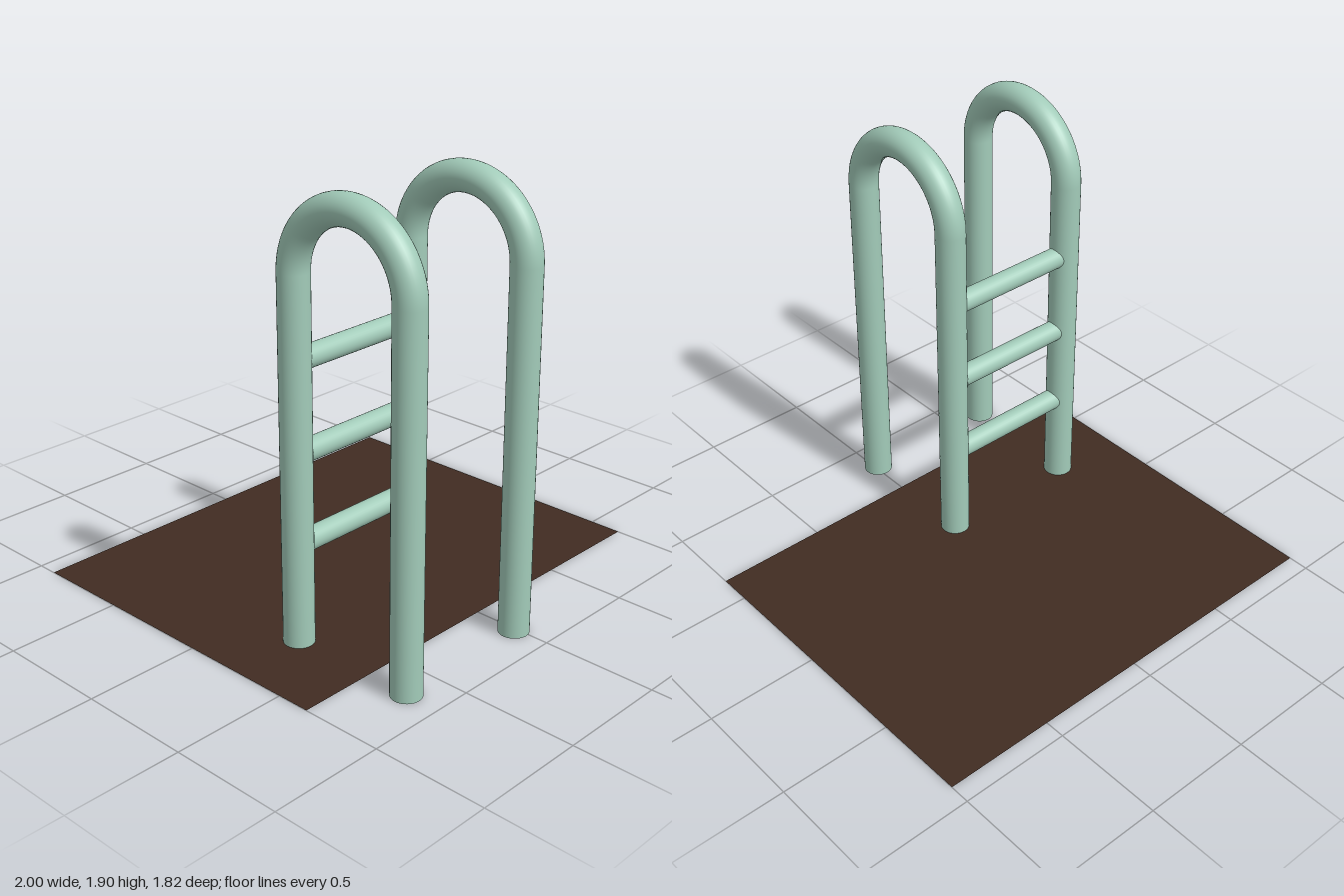
import * as THREE from 'three';

export function createModel() {
  const group = new THREE.Group();
  const paint = new THREE.MeshStandardMaterial({ color: 0xa2cbb9 });
  paint.name = 'pale green paint';
  const soil = new THREE.MeshStandardMaterial({ color: 0x412c22, side: THREE.DoubleSide });
  soil.name = 'dark brown ground';

  const add = (parent, name, geometry, material, x, y, z) => {
    const mesh = new THREE.Mesh(geometry, material);
    mesh.name = name;
    mesh.position.set(x, y, z);
    parent.add(mesh);
    return mesh;
  };

  const railR = 0.065, bendR = 0.288, legH = 1.552;
  const midZ = 0.555, midX = -0.34, halfGap = 0.325;

  // Thin ground sheet, just above the leg ends
  const sheet = new THREE.PlaneGeometry(2, 1.555).rotateX(-Math.PI / 2);
  add(group, 'groundSheet', sheet, soil, 0, 0.001, -0.1325);

  // Two arched handrails
  const leg = new THREE.CylinderGeometry(railR, railR, legH, 32);
  const arch = new THREE.TorusGeometry(bendR, railR, 32, 48, Math.PI).rotateY(Math.PI / 2);
  for (const side of [-1, 1]) {
    const rail = new THREE.Group();
    rail.name = side > 0 ? 'leftHandrail' : 'rightHandrail';
    rail.position.set(midX + side * halfGap, 0, midZ);
    add(rail, 'frontLeg', leg, paint, 0, legH / 2, bendR);
    add(rail, 'backLeg', leg, paint, 0, legH / 2, -bendR);
    add(rail, 'arch', arch, paint, 0, legH, 0);
    group.add(rail);
  }

  // Rungs between the back legs
  const rung = new THREE.CylinderGeometry(0.047, 0.047, 2 * halfGap, 32).rotateZ(Math.PI / 2);
  for (let i = 0; i < 3; i++) {
    add(group, 'rung' + (i + 1), rung, paint, midX, 0.432 + i * 0.384, midZ - bendR);
  }

  return group;
}
